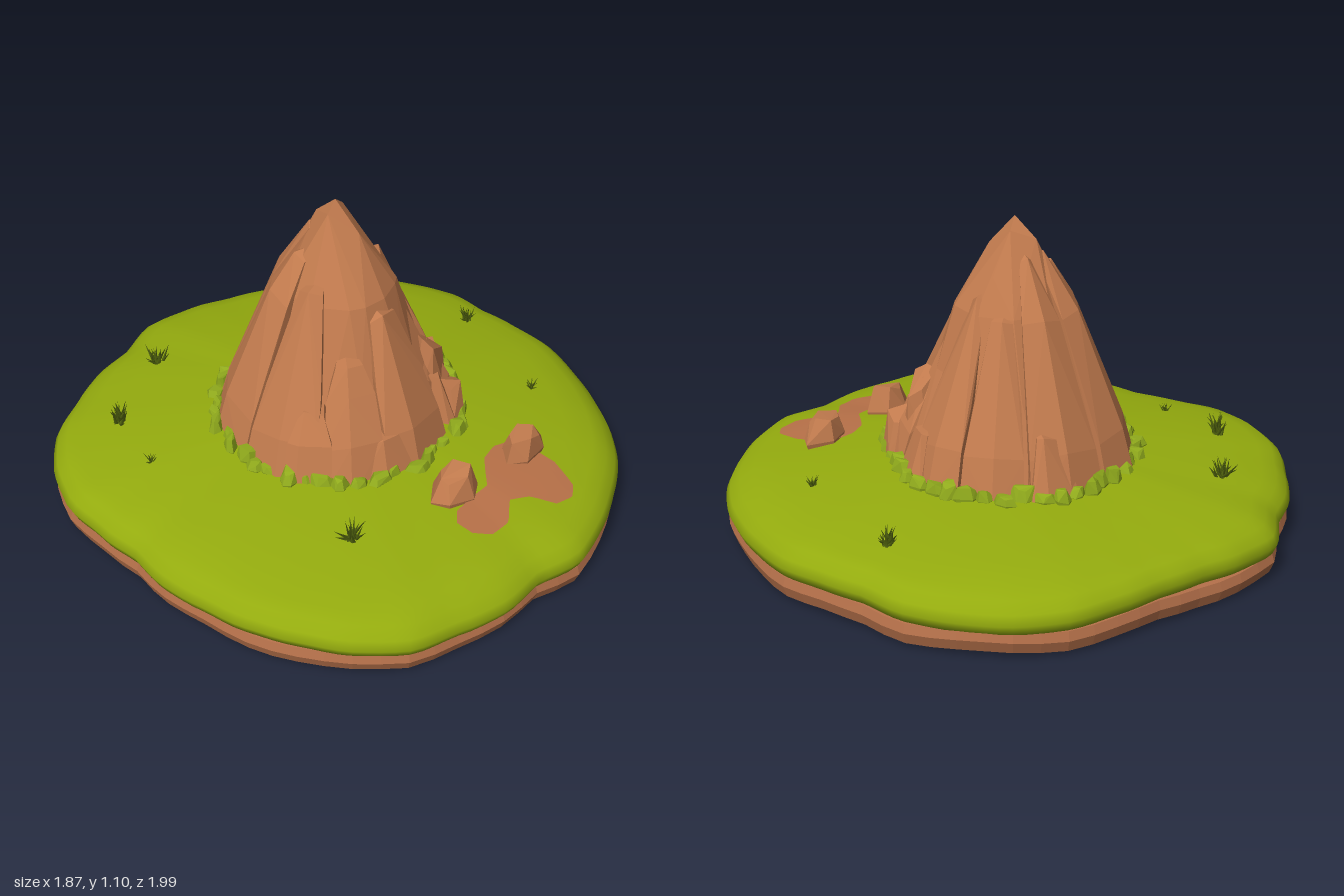
import * as THREE from 'three';
import { ConvexGeometry } from 'three/addons/geometries/ConvexGeometry.js';

const mat = (name, color, extra = {}) => {
  const m = new THREE.MeshStandardMaterial({ color, ...extra });
  m.name = name;
  return m;
};

// small seeded random
let seed = 7;
const rnd = (a = 0, b = 1) => {
  seed = (seed * 16807) % 2147483647;
  return a + (b - a) * (seed / 2147483647);
};

// island outline: radius every 10 degrees, from +x towards +z
const OUTLINE = [
  0.91, 0.915, 0.935, 0.935, 0.945, 0.96, 0.97, 0.97, 0.98, 0.99, 0.945, 0.975,
  0.985, 1.02, 1.01, 0.985, 0.965, 0.94, 0.932, 0.915, 0.955, 1.01, 1.03, 1.03,
  1.0, 0.99, 0.965, 1.0, 0.965, 0.925, 0.915, 0.935, 0.965, 0.97, 0.96, 0.95];
const outlineR = (a) => {
  const f = ((a / (Math.PI * 2)) * 36 + 36) % 36;
  const i = Math.floor(f), t = f - i, s = t * t * (3 - 2 * t) * 0.5 + t * 0.5;
  return OUTLINE[i % 36] * (1 - s) + OUTLINE[(i + 1) % 36] * s;
};

// piecewise-linear lookup in [[x, y], ...]
const lookup = (table, x) => {
  for (let i = 1; i < table.length; i++) {
    const [x0, y0] = table[i - 1], [x1, y1] = table[i];
    if (x <= x1) return y0 + ((y1 - y0) * (x - x0)) / (x1 - x0);
  }
  return table[table.length - 1][1];
};

// grass height against the fraction of the outline radius
const TOP = [[0, 0.285], [0.3, 0.28], [0.45, 0.27], [0.65, 0.245], [0.8, 0.225], [0.9, 0.203], [0.95, 0.185], [0.985, 0.155], [1, 0.125]];
const groundY = (x, z) => lookup(TOP, Math.hypot(x, z) / outlineR(Math.atan2(z, x)));

// closed loft of [scale, y] rings, listed from the bottom up
function loft(rings, n, wave) {
  const pos = [], index = [];
  rings.forEach(([s, y]) => {
    for (let i = 0; i < n; i++) {
      const a = (i / n) * Math.PI * 2, r = outlineR(a) * s;
      pos.push(r * Math.cos(a), y + wave(a, s), r * Math.sin(a));
    }
  });
  for (let j = 0; j < rings.length - 1; j++) for (let i = 0; i < n; i++) {
    const a = j * n + i, a1 = j * n + ((i + 1) % n), b = a + n, b1 = a1 + n;
    index.push(a, b, a1, a1, b, b1);
  }
  const g = new THREE.BufferGeometry();
  g.setAttribute('position', new THREE.Float32BufferAttribute(pos, 3));
  g.setIndex(index);
  g.computeVertexNormals();
  return g;
}

// mountain radius against height, and a point on it (degrees from +z towards +x)
const CONE = [[0.22, 0.43], [0.4, 0.38], [0.55, 0.31], [0.8, 0.215], [0.9, 0.16], [1.04, 0.07], [1.1, 0]];
const polar = (deg, r, y) => {
  const a = THREE.MathUtils.degToRad(deg);
  return new THREE.Vector3(r * Math.sin(a), y, -0.03 + r * Math.cos(a));
};

// one wedge-shaped slab of rock leaning on the mountain
function slab(a0, a1, top, bump) {
  const pts = [], mid = (a0 + a1) / 2 + rnd(-5, 5);
  [0.22, 0.4, 0.55, 0.8, 0.95].filter((y) => y < top - 0.08).concat(top).forEach((y) => {
    const r = lookup(CONE, y) + bump - (y === top ? 0.012 : 0);
    const pinch = y === top ? 5 : 0;
    pts.push(polar(a0 + pinch, r, y - rnd(0, 0.03)), polar(a1 - pinch, r, y - rnd(0, 0.03)), polar(mid, r + 0.015, y));
  });
  pts.push(polar(mid, 0.08, 0.22), polar(mid, lookup(CONE, top) * 0.4, top + 0.02));
  return new ConvexGeometry(pts);
}

// angular boulder: jittered hull scaled to size
function boulder(w, h, d) {
  const pts = [];
  for (let i = 0; i < 6; i++) {
    const a = (i / 6) * Math.PI * 2 + rnd(-0.25, 0.25);
    pts.push(new THREE.Vector3(Math.cos(a) * w / 2, rnd(0, 0.25) * h, Math.sin(a) * d / 2));
    pts.push(new THREE.Vector3(Math.cos(a) * w * rnd(0.2, 0.42), h * rnd(0.65, 1), Math.sin(a) * d * rnd(0.2, 0.42)));
    pts.push(new THREE.Vector3(Math.cos(a) * w * 0.4, -h * 0.4, Math.sin(a) * d * 0.4));
  }
  return new ConvexGeometry(pts);
}

export function createModel() {
  seed = 7;
  const model = new THREE.Group();
  const rock = mat('rock', 0xc27b4e, { flatShading: true });
  const soil = mat('soil', 0xb36f49, { flatShading: true });
  const grass = mat('grass', 0x94ab0e);
  const shrub = mat('shrub', 0x90aa1c, { flatShading: true });
  const blade = mat('blade', 0x55680f, { side: THREE.DoubleSide });
  const bare = mat('bareEarth', 0xb87148, { side: THREE.DoubleSide });
  const add = (name, geometry, material, parent = model) => {
    const m = new THREE.Mesh(geometry, material);
    m.name = name;
    parent.add(m);
    return m;
  };
  const group = (name) => {
    const g = new THREE.Group();
    g.name = name;
    model.add(g);
    return g;
  };

  // island: soil disc under a domed grass cap
  add('soilBase', loft([[0, 0.004], [0.5, 0.004], [0.94, 0.004], [0.98, 0.02], [0.995, 0.06], [0.985, 0.09], [0.9, 0.1]], 72,
    (a, s) => (s > 0.95 ? 0.005 * Math.sin(a * 11) : 0)), soil);
  const capRings = [[0.93, 0.088], [0.985, 0.09], ...TOP.slice().reverse()];
  add('grassCap', loft(capRings, 144, (a, s) => (s > 0.9 ? 0.007 * Math.sin(a * 5 + 1) - 0.005 * Math.sin(a) : 0)), grass);

  // bare earth patch following the ground: [x, near z, far z]
  const edge = [[-0.22, 0.64, 0.7], [-0.18, 0.61, 0.75], [-0.1, 0.61, 0.76], [-0.02, 0.62, 0.71], [0.04, 0.57, 0.75],
    [0.08, 0.54, 0.83], [0.15, 0.53, 0.85], [0.2, 0.55, 0.82], [0.24, 0.62, 0.72]];
  const patch = new THREE.PlaneGeometry(1, 1, 32, 10);
  const pp = patch.attributes.position;
  for (let i = 0; i < pp.count; i++) {
    const x = -0.22 + (pp.getX(i) + 0.5) * 0.46;
    const z0 = lookup(edge.map((e) => [e[0], e[1]]), x), z1 = lookup(edge.map((e) => [e[0], e[2]]), x);
    const z = z0 + (0.5 - pp.getY(i)) * (z1 - z0);
    pp.setXYZ(i, x, groundY(x, z) + 0.006, z);
  }
  patch.computeVertexNormals();
  add('earthPatch', patch, bare);

  // mountain: core with peak, then slabs around it
  const mountain = group('mountain');
  const core = [[0, 1.1, -0.04], [-0.05, 1.07, -0.03], [0.05, 1.06, -0.05], [0, 1.03, -0.12], [0.01, 1.0, 0.05],
    [-0.12, 0.93, -0.02], [0.13, 0.92, -0.03], [-0.08, 0.8, 0.15], [0.09, 0.8, 0.14]].map((p) => new THREE.Vector3(...p));
  for (let i = 0; i < 9; i++) {
    core.push(polar(i * 40 + 15, 0.375, 0.22), polar(i * 40 + 5, 0.275, 0.55), polar(i * 40, 0.195, 0.8));
  }
  add('mountainCore', new ConvexGeometry(core), rock, mountain);
  [[-27, 13, 0.77, 0.0], [17, 56, 0.68, -0.035], [60, 92, 0.86, -0.01], [94, 124, 0.8, 0], [127, 165, 0.98, 0],
    [167, 213, 0.99, 0.005], [215, 260, 0.93, 0.005], [262, 299, 0.86, 0.015], [302, 331, 0.64, 0.012],
    [18, 36, 0.45, 0.0], [26, 50, 0.55, -0.01], [52, 74, 0.42, 0.008], [126, 150, 0.46, 0.025], [-46, -12, 0.4, 0.015], [278, 306, 0.5, 0.02],
  ].forEach((s) => add('rockSlab', slab(...s), rock, mountain));
  // leaning rocks at the front left corner of the mountain
  [[0.18, 0.22, 0.17, 0.35, 0.15], [0.2, 0.29, 0.16, 0.2, 0.14], [0.13, 0.25, 0.1, 0.27, 0.12]].forEach(([x, z, w, h, d]) => {
    add('leaningRock', boulder(w, h, d), rock, mountain).position.set(x, 0.24, z);
  });

  // ring of low shrubs round the foot
  const shrubs = group('shrubRing');
  for (let i = 0; i < 44; i++) {
    const a = (i / 44) * 360 + rnd(-2, 2), w = rnd(0.055, 0.1);
    const p = polar(a, rnd(0.41, 0.45), 0.262);
    const m = add('shrub', boulder(w, rnd(0.03, 0.06), rnd(0.045, 0.07)), shrub, shrubs);
    m.position.copy(p);
    m.rotation.y = THREE.MathUtils.degToRad(a) + rnd(-0.4, 0.4);
  }

  // two loose boulders on the bare earth
  [[-0.12, 0.55, 0.19, 0.11, 0.14, -0.4], [0.21, 0.61, 0.2, 0.1, 0.12, 0]].forEach(([x, z, w, h, d, turn]) => {
    const m = add('boulder', boulder(w, h, d), rock);
    m.position.set(x, groundY(x, z), z);
    m.rotation.y = turn;
  });

  // grass tufts: tapering blades fanned outwards, [x, z, size]
  [[-0.53, -0.59, 0.075], [-0.2, -0.73, 0.07], [-0.62, -0.35, 0.035], [0.74, 0.01, 0.06], [0.53, 0.44, 0.04], [-0.49, 0.42, 0.07]].forEach(([x, z, s]) => {
    const tuft = group('grassTuft');
    tuft.position.set(x, groundY(x, z) - 0.004, z);
    const n = Math.round(s * 330);
    for (let i = 0; i < n; i++) {
      const len = s * rnd(0.75, 1.2);
      const g = new THREE.ConeGeometry(s * 0.1, len, 3).translate(0, len / 2, 0);
      const m = add('grassBlade', g, blade, tuft);
      m.rotation.set(0, i * 2.4, rnd(0.1, 0.95), 'YXZ');
      m.position.set(rnd(-0.2, 0.2) * s, 0, rnd(-0.2, 0.2) * s);
    }
  });
  return model;
}
